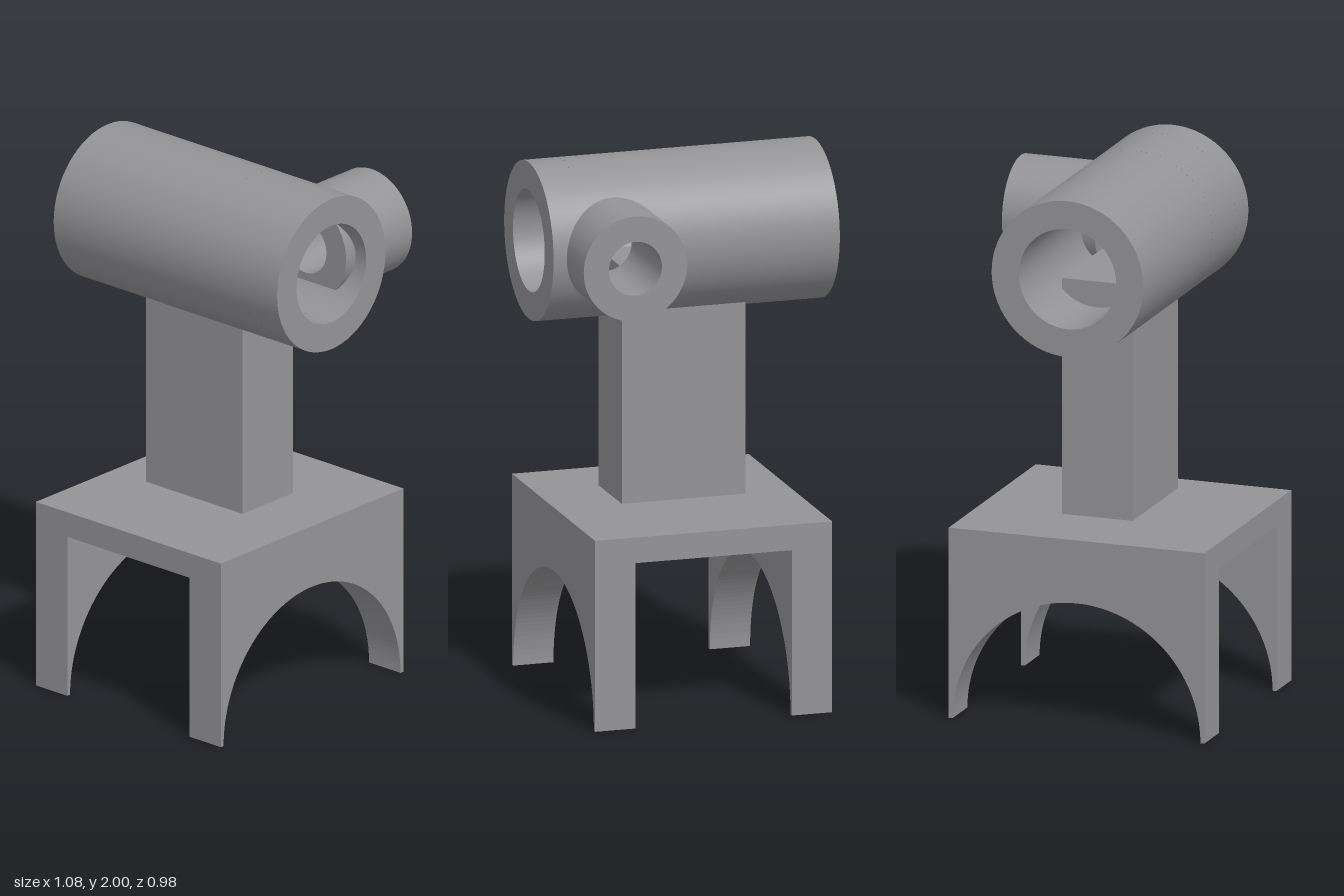
import * as THREE from 'three';
import { mergeGeometries } from 'three/addons/utils/BufferGeometryUtils.js';

const gray = new THREE.MeshStandardMaterial({ color: 0x949497 });
gray.name = 'gray';

const SEG = 64;

// Revolves each straight profile segment on its own, so corners stay sharp.
function revolve(points, start = 0, length = Math.PI * 2) {
  const parts = [];
  for (let i = 0; i < points.length - 1; i++) {
    const pair = [points[i], points[i + 1]].map(([r, y]) => new THREE.Vector2(r, y));
    parts.push(new THREE.LatheGeometry(pair, SEG, start, length));
  }
  return mergeGeometries(parts);
}

function add(parent, name, geometry, x = 0, y = 0, z = 0) {
  const mesh = new THREE.Mesh(geometry, gray);
  mesh.name = name;
  mesh.position.set(x, y, z);
  parent.add(mesh);
  return mesh;
}

// Stand: two arched side plates joined by a top slab
function createStand() {
  const stand = new THREE.Group();
  stand.name = 'stand';
  const outer = 0.447, inner = 0.295, depth = 0.49, top = 0.71, arch = 0.475;

  const plate = new THREE.Shape();
  plate.moveTo(-depth, 0);
  plate.lineTo(-arch, 0);
  plate.absarc(0, 0, arch, Math.PI, 0, true);
  plate.lineTo(depth, 0);
  plate.lineTo(depth, top);
  plate.lineTo(-depth, top);
  plate.closePath();
  const plateGeometry = new THREE.ExtrudeGeometry(plate, {
    depth: outer - inner, bevelEnabled: false, curveSegments: 40,
  });
  plateGeometry.rotateY(Math.PI / 2);
  add(stand, 'leftSidePlate', plateGeometry, inner);
  add(stand, 'rightSidePlate', plateGeometry, -outer);

  const under = 0.615;
  add(stand, 'topSlab', new THREE.BoxGeometry(inner * 2, top - under, depth * 2), 0, (top + under) / 2);
  return stand;
}

// Head: a wide pipe along x with a smaller pipe leaving its back
function createHead() {
  const head = new THREE.Group();
  head.name = 'head';
  head.position.y = 1.71;
  const half = 0.54, ro = 0.291, ri = 0.187;
  const branchX = 0.295, opening = 0.12;
  const x0 = branchX - opening, x1 = branchX + opening;

  // The middle section leaves a window hidden inside the branch wall
  const gapOuter = Math.asin(opening / ro);
  const gapInner = Math.asin(opening / ri);
  const arc = (points, gap) => revolve(points, Math.PI + gap, 2 * Math.PI - 2 * gap);
  const pipe = mergeGeometries([
    revolve([[ri, x0], [ri, -half], [ro, -half], [ro, x0]]),
    arc([[ro, x0], [ro, x1]], gapOuter),
    arc([[ri, x1], [ri, x0]], gapInner),
    revolve([[ro, x1], [ro, half], [ri, half], [ri, x1]]),
  ]);
  pipe.rotateZ(-Math.PI / 2);
  add(head, 'mainPipe', pipe);

  const bo = 0.195, bi = 0.1, near = 0.135, far = 0.49;
  const branch = revolve([[bi, near], [bo, near], [bo, far], [bi, far], [bi, near]]);
  branch.rotateX(-Math.PI / 2);
  add(head, 'branchPipe', branch, branchX);
  return head;
}

export function createModel() {
  const model = new THREE.Group();
  model.name = 'pipeStand';
  model.add(createStand());

  // Post: floats just above the stand and reaches into the main pipe
  const bottom = 0.74, top = 1.62;
  add(model, 'post', new THREE.BoxGeometry(0.466, top - bottom, 0.272), 0, (top + bottom) / 2);

  model.add(createHead());
  return model;
}
